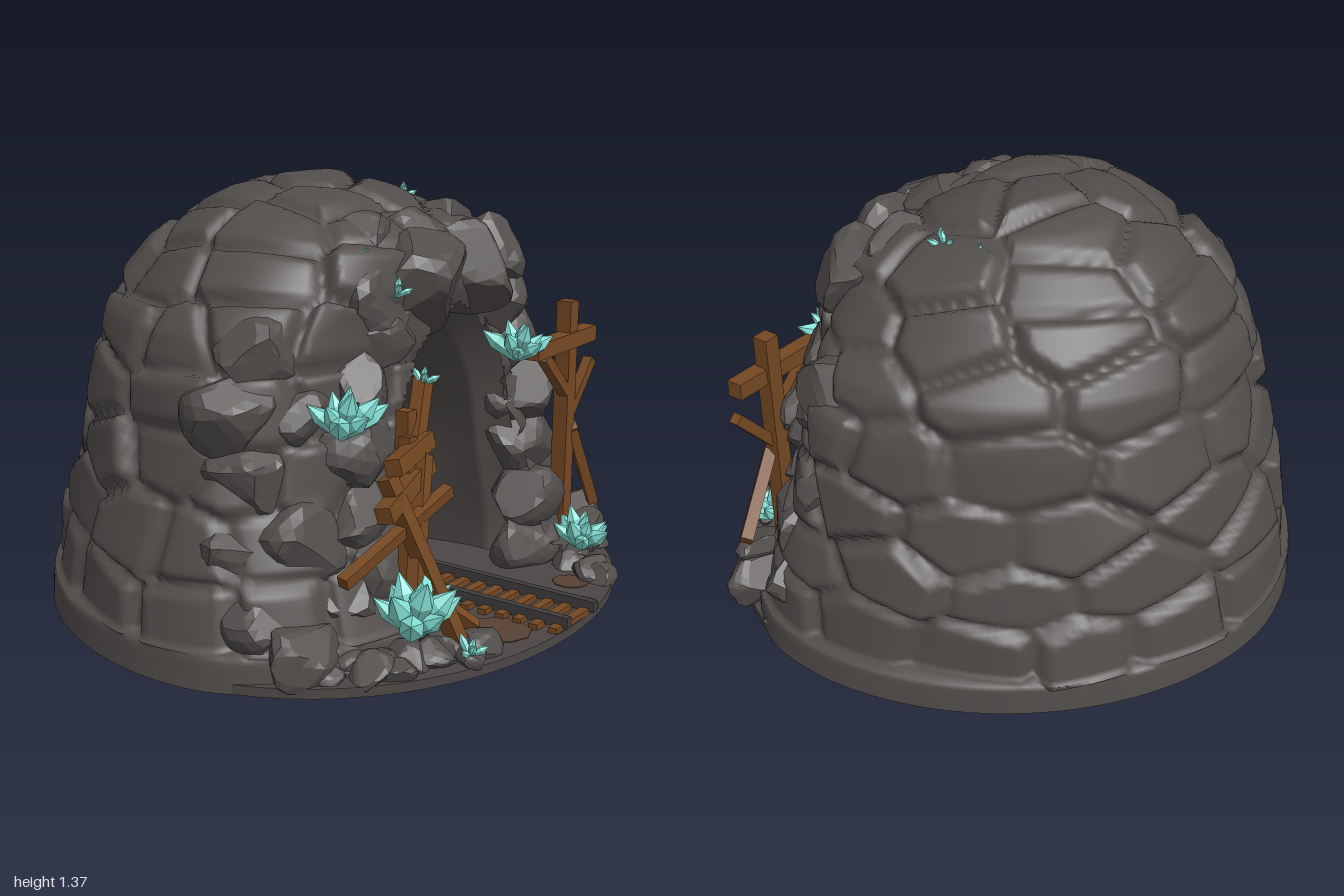
import * as THREE from 'three';
import { ParametricGeometry } from 'three/addons/geometries/ParametricGeometry.js';

// Seeded random numbers
let seed = 7;
const rnd = (a = 0, b = 1) => {
  seed = (seed * 16807) % 2147483647;
  return a + (b - a) * (seed / 2147483647);
};
const V = (x, y, z) => new THREE.Vector3(x, y, z);

const mat = (name, color, side = THREE.FrontSide) => {
  const m = new THREE.MeshStandardMaterial({ color, side });
  m.name = name;
  return m;
};

// Mound profile: height, half width, back z, front z, centre z, running length
const PROFILE = [
  [0, 0.998, -0.955, 0.68, 0.1], [0.1, 0.99, -0.95, 0.68, 0.1], [0.108, 0.955, -0.92, 0.63, 0.1],
  [0.3, 0.925, -0.89, 0.56, 0.1], [0.5, 0.87, -0.85, 0.49, 0.1], [0.8, 0.81, -0.77, 0.46, 0.08],
  [0.95, 0.745, -0.74, 0.46, 0.06], [1.05, 0.65, -0.69, 0.48, 0.03], [1.15, 0.56, -0.61, 0.46, 0],
  [1.25, 0.42, -0.47, 0.3, -0.04], [1.31, 0.3, -0.34, 0.16, -0.08], [1.345, 0.15, -0.21, 0.01, -0.1],
  [1.35, 0, -0.1, -0.1, -0.1],
];
PROFILE.forEach((r, i) => {
  const q = PROFILE[i - 1];
  r.push(q ? q[5] + Math.hypot(r[0] - q[0], r[1] - q[1]) : 0);
});
const LENGTH = PROFILE[PROFILE.length - 1][5];

function profileAt(value, key) {
  let i = 1;
  while (i < PROFILE.length - 1 && PROFILE[i][key] < value) i++;
  const a = PROFILE[i - 1], b = PROFILE[i];
  const t = Math.min(1, Math.max(0, (value - a[key]) / (b[key] - a[key])));
  return a.map((v, k) => v + (b[k] - v) * t);
}

// Rounded plan outline, narrower to the back and blunt to the front
function ring(phi, [y, w, back, front, c], nFront = 2.6) {
  const cs = Math.cos(phi), sn = Math.sin(phi), n = sn > 0 ? nFront : 1.86;
  const r = Math.pow(Math.abs(cs) ** n + Math.abs(sn) ** n, -1 / n);
  return V(w * cs * r, y, c + (sn > 0 ? front - c : c - back) * sn * r);
}

const inArch = (x, y) => y < 0.98 && Math.abs(x - 0.06) < 0.41 * Math.pow(1 - (y / 0.98) ** 2.8, 0.6);

// Mound of courses of wide, bulging stones with narrow grooves between them
function moundGeometry() {
  const cells = [];
  for (let s = 0.21, row = 0; s < LENGTH; s += 0.2, row++) {
    const p = profileAt(s, 5), count = Math.max(1, Math.round((p[1] * 6) / 0.38));
    for (let i = 0; i < count; i++) {
      const phi = ((i + (row % 2) / 2 + rnd(-0.25, 0.25)) / count) * Math.PI * 2;
      cells.push({
        at: ring(phi, profileAt(s + rnd(-0.04, 0.04), 5)),
        lift: rnd(-0.008, 0.022),
        tilt: V(rnd(-1, 1), rnd(-1, 1), rnd(-1, 1)).multiplyScalar(0.1),
      });
    }
  }
  const dist2 = (a, b) => (a.x - b.x) ** 2 + 3 * (a.y - b.y) ** 2 + (a.z - b.z) ** 2;
  const geo = new ParametricGeometry((u, v, out) => {
    const p = profileAt(v * LENGTH, 5);
    out.copy(ring(Math.PI / 2 - u * Math.PI * 2, p));
    if (p[0] < 0.102) return;
    let d1 = 9, d2 = 9, c1, c2;
    for (const c of cells) {
      const d = dist2(out, c.at);
      if (d < d1) { d2 = d1; c2 = c1; d1 = d; c1 = c; } else if (d < d2) { d2 = d; c2 = c; }
    }
    const border = (d2 - d1) / (2 * Math.sqrt(dist2(c1.at, c2.at)));
    const k = THREE.MathUtils.smoothstep(border, -0.015, 0.05);
    const h = -0.025 + k * (0.03 + c1.lift + c1.tilt.dot(out.clone().sub(c1.at)));
    out.addScaledVector(V(out.x, out.y - 0.3, out.z - p[4]).normalize(), h);
  }, 270, 110);
  // Leave the cave mouth open
  const pos = geo.attributes.position, old = geo.index.array, keep = [];
  for (let i = 0; i < old.length; i += 3) {
    const t = [old[i], old[i + 1], old[i + 2]];
    const mid = (f) => (f(t[0]) + f(t[1]) + f(t[2])) / 3;
    const open = mid((k) => pos.getZ(k)) > 0.2 && inArch(mid((k) => pos.getX(k)), mid((k) => pos.getY(k)));
    if (!open) keep.push(...t);
  }
  geo.setIndex(keep);
  geo.computeVertexNormals();
  return geo;
}

// Boulder: a ball chipped flat by random planes, resting on or above the ground
function boulderGeometry(x, y, z, r, sy = 0.85, sz = 0.75) {
  const geo = new THREE.IcosahedronGeometry(1.2 * r, 3), pos = geo.attributes.position, p = V(0, 0, 0);
  const planes = Array.from({ length: 13 }, () => [V(rnd(-1, 1), rnd(-1, 1), rnd(-1, 1)).normalize(), rnd(0.74, 1.02) * r]);
  const turn = new THREE.Euler(rnd(-0.2, 0.2), rnd(-0.3, 0.3), rnd(-0.3, 0.3));
  for (let i = 0; i < pos.count; i++) {
    p.fromBufferAttribute(pos, i);
    for (const [n, d] of planes) p.addScaledVector(n, -Math.max(0, p.dot(n) - d));
    p.multiply(V(1, sy, sz)).applyEuler(turn);
    pos.setXYZ(i, THREE.MathUtils.clamp(p.x + x, -0.995, 0.995), Math.max(0.003, p.y + y), Math.min(0.95, p.z + z));
  }
  geo.computeVertexNormals();
  return geo;
}

export function createModel() {
  seed = 7;
  const root = new THREE.Group();
  root.name = 'mineCave';
  const rock = mat('darkStone', 0x514d4b), cave = mat('caveStone', 0x4e4a48, THREE.DoubleSide);
  const ground = mat('groundStone', 0x4c4745), dirt = mat('rustyDirt', 0x584133);
  const wood = mat('wood', 0x754822), iron = mat('iron', 0x403d3f), crystal = mat('crystal', 0x84e0d5);
  const add = (name, geo, m, x = 0, y = 0, z = 0, parent = root) => {
    const mesh = new THREE.Mesh(geo, m);
    mesh.name = name;
    mesh.position.set(x, y, z);
    parent.add(mesh);
    return mesh;
  };
  const group = (name) => {
    const g = new THREE.Group();
    g.name = name;
    root.add(g);
    return g;
  };

  add('mound', moundGeometry(), rock);

  // Floor slab
  const base = [0, 0.985, -0.945, 0.93, 0.1];
  const plan = new THREE.Shape(Array.from({ length: 72 }, (_, i) => {
    const p = ring((i / 72) * Math.PI * 2, base, 2.1);
    return new THREE.Vector2(p.x, p.z);
  }));
  const slab = new THREE.ExtrudeGeometry(plan, { depth: 0.03, bevelEnabled: false });
  add('floor', slab.rotateX(Math.PI / 2), ground, 0, 0.03, 0);
  [[-0.14, 0.77, 0.1], [0.36, 0.74, 0.06], [0.22, 0.86, 0.05]].forEach(([x, z, r]) =>
    add('dirtPatch', new THREE.CylinderGeometry(r, r, 0.004, 9), dirt, x, 0.031, z));

  // Pointed tunnel, flared behind the mouth and closing towards the back
  add('tunnel', new ParametricGeometry((u, v, out) => {
    const a = u * Math.PI, k = Math.sqrt(1 - v ** 3), t = Math.cos(a), flare = Math.max(0, 1 - v * 10);
    const y = (0.96 * (0.35 + 0.65 * k) + 0.08 * flare) * Math.sin(a) ** 0.9 * (1 - 0.14 * Math.abs(t));
    out.set(0.06 + (0.39 * k + 0.08 * flare) * t * (1 + 0.05 * Math.sin(9 * y + 8 * v)), y, 0.45 - 0.9 * v);
  }, 32, 30), cave);
  add('tunnelBackStone', boulderGeometry(0.04, 0.2, -0.3, 0.34, 1.05, 0.4), cave);

  // Boulders: cave mouth, front face and the foot of the mound
  const boulders = group('boulders');
  const boulder = (...b) => add('boulder', boulderGeometry(...b), rock, 0, 0, 0, boulders);
  [[-0.1, 1.06, 0.42, 0.18], [0.17, 1.07, 0.42, 0.17], [0.39, 1.09, 0.36, 0.16], [-0.31, 1.02, 0.39, 0.13],
    [0.03, 1.17, 0.32, 0.14], [-0.18, 1.17, 0.28, 0.11], [0.3, 1.17, 0.24, 0.13], [0.37, 0.95, 0.42, 0.12],
    [-0.28, 0.91, 0.42, 0.11], [-0.38, 0.78, 0.41, 0.13], [0.47, 0.8, 0.41, 0.13], [-0.42, 0.6, 0.42, 0.14],
    [0.53, 0.62, 0.41, 0.14], [-0.43, 0.4, 0.44, 0.14], [0.54, 0.44, 0.43, 0.14], [-0.44, 0.22, 0.47, 0.15],
    [0.51, 0.26, 0.47, 0.14], [-0.42, 0.08, 0.52, 0.13], [0.47, 0.09, 0.5, 0.13]].forEach((b) => boulder(...b));
  [0.2, 0.38, 0.56, 0.74, 0.9].forEach((y, row) => {
    for (let i = 0; i < 7; i++) {
      const p = ring(0.52 + (i + (row % 2) * 0.4) * 0.33, profileAt(y, 0));
      if (Math.abs(p.x - 0.06) > 0.55) boulder(p.x * 0.94, y + rnd(-0.03, 0.03), p.z - 0.07, rnd(0.12, 0.16), 0.8, 0.8);
    }
  });
  for (let i = 0; i < 50; i++) {
    const phi = 0.34 + (i / 49) * 2.46, r = rnd(0.045, 0.085);
    const p = ring(phi, base, 2.1).multiplyScalar(rnd(0.84, 0.97));
    if (p.x > -0.25 && p.x < 0.4) continue;
    boulder(p.x, 0.04, p.z, r, 0.7, 0.9);
  }
  [[0.84, 0.1, 0.5, 0.1], [0.72, 0.08, 0.6, 0.09], [-0.78, 0.1, 0.5, 0.11]].forEach((b) => boulder(...b));

  // Track
  const track = group('track');
  [-0.015, 0.155].forEach((x) => add('rail', new THREE.BoxGeometry(0.025, 0.035, 1.13), iron, x, 0.055, 0.375, track));
  for (let i = 0; i < 18; i++) {
    add('sleeper', new THREE.BoxGeometry(0.27 + rnd(-0.03, 0.03), 0.018, 0.03), wood, 0.07, 0.039, 0.91 - i * 0.063, track);
  }

  // Timber supports: two end points and thickness
  const timbers = group('timberSupports');
  [[-0.31, 0.03, 0.55, -0.31, 0.72, 0.53, 0.045], [-0.26, 0.03, 0.3, -0.25, 0.62, 0.3, 0.045],
    [-0.39, 0.08, 0.78, -0.53, 0.58, 0.62, 0.045], [-0.57, 0.14, 0.74, -0.33, 0.6, 0.61, 0.04],
    [-0.75, 0.33, 0.63, -0.3, 0.5, 0.68, 0.035], [-0.6, 0.49, 0.66, -0.28, 0.56, 0.59, 0.05],
    [-0.53, 0.61, 0.64, -0.27, 0.63, 0.58, 0.05], [-0.37, 0.53, 0.59, -0.19, 0.79, 0.51, 0.045],
    [-0.36, 0.2, 0.62, -0.2, 0.05, 0.72, 0.035], [-0.42, 0.12, 0.62, -0.37, 0.66, 0.58, 0.04],
    [0.64, 0.03, 0.54, 0.645, 0.92, 0.54, 0.055], [0.39, 0.78, 0.55, 0.79, 0.79, 0.55, 0.055],
    [0.47, 0.75, 0.55, 0.63, 0.6, 0.55, 0.035], [0.8, 0.69, 0.55, 0.66, 0.53, 0.55, 0.035],
    [0.66, 0.48, 0.56, 0.92, 0.33, 0.44, 0.04], [0.67, 0.46, 0.56, 0.77, 0.18, 0.6, 0.035],
  ].forEach(([x1, y1, z1, x2, y2, z2, t]) => {
    const d = V(x2 - x1, y2 - y1, z2 - z1);
    const beam = add('timber', new THREE.BoxGeometry(t, d.length(), t), wood, (x1 + x2) / 2, (y1 + y2) / 2, (z1 + z2) / 2, timbers);
    beam.quaternion.setFromUnitVectors(V(0, 1, 0), d.normalize());
  });

  // Crystal clusters: position, size, number of shards
  const shard = new THREE.LatheGeometry([[0, 0], [0.1, 0.02], [0.17, 0.62], [0, 1]].map((p) => new THREE.Vector2(...p)), 6).toNonIndexed();
  shard.computeVertexNormals();
  const crystals = group('crystals');
  [[-0.57, 0.69, 0.49, 0.17, 11], [-0.57, 0.16, 0.74, 0.2, 11], [0.33, 0.77, 0.53, 0.15, 10], [0.55, 0.09, 0.67, 0.16, 11],
    [-0.31, 1.12, 0.36, 0.1, 5], [-0.28, 1.05, 0.47, 0.07, 4], [-0.57, 0.98, 0.27, 0.07, 4], [0.36, 1.26, -0.1, 0.06, 4],
    [0.37, 1.26, 0.03, 0.07, 4], [-0.23, 0.08, 0.53, 0.15, 6], [-0.21, 0.78, 0.52, 0.06, 4], [-0.42, 0.06, 0.84, 0.07, 5],
  ].forEach(([x, y, z, size, n]) => {
    for (let i = 0; i < n; i++) {
      const a = i * 2.4, lean = 1.2 * Math.sqrt(i / n), len = size * rnd(0.75, 1.05);
      const m = add('crystalShard', shard, crystal, x, y, z, crystals);
      m.quaternion.setFromUnitVectors(V(0, 1, 0), V(Math.sin(lean) * Math.cos(a), Math.cos(lean), Math.sin(lean) * Math.sin(a) + 0.2).normalize());
      m.scale.set(len * 1.1, len, len * 1.1);
    }
  });
  return root;
}
